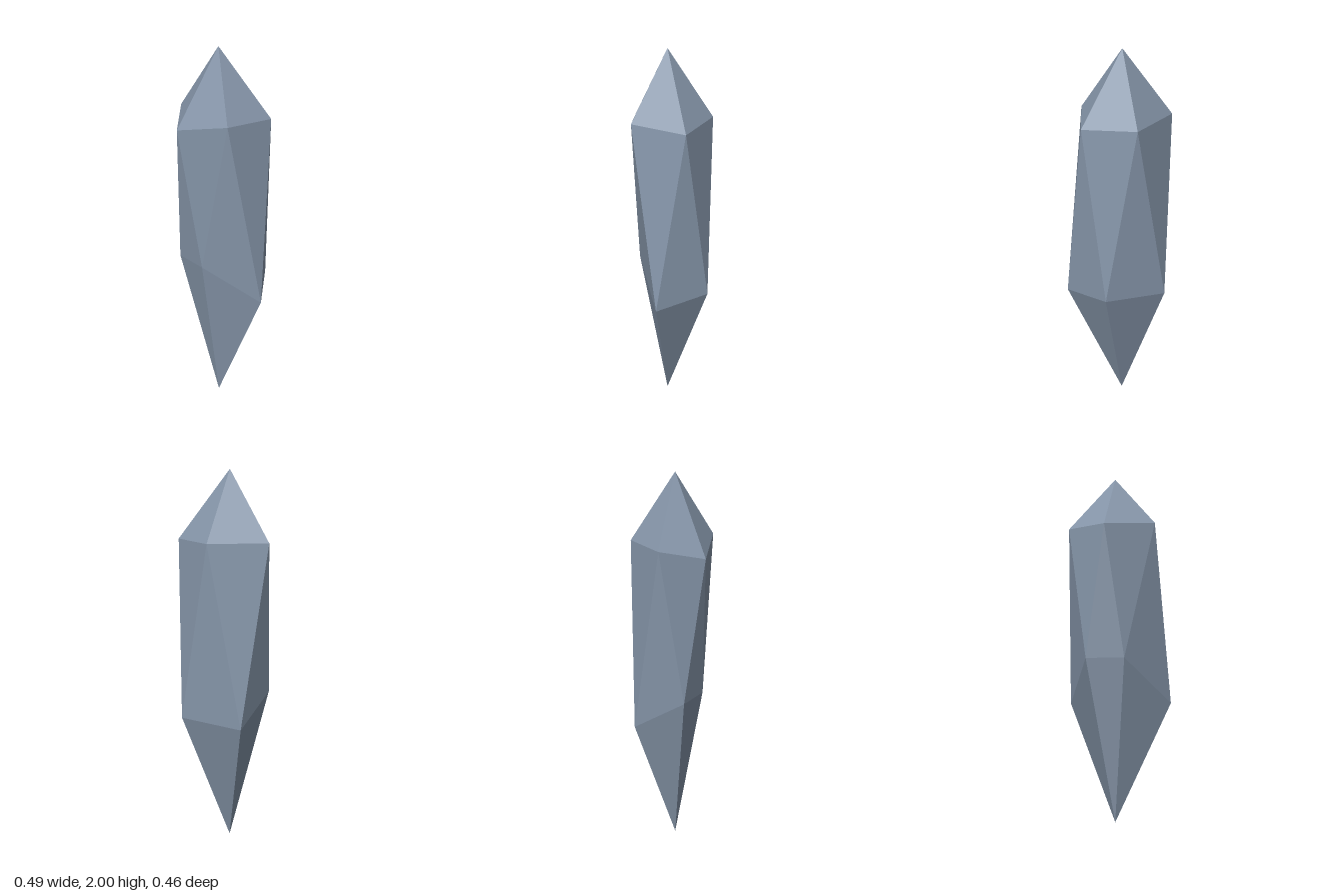
import * as THREE from 'three';

// Irregular five-sided crystal: two tips and two staggered rings
const tip = [-0.025, 2, 0.006];
const base = [-0.025, 0, 0.008];
const upper = [
  [0.246, 1.635, 0.006], [0.061, 1.655, 0.23], [-0.218, 1.585, 0.122],
  [-0.248, 1.64, -0.128], [0.06, 1.64, -0.21],
];
const lower = [
  [0.23, 0.66, 0.162], [-0.09, 0.83, 0.142], [-0.236, 0.825, 0.008],
  [-0.12, 0.675, -0.232], [0.209, 0.7, -0.135],
];

function crystalGeometry() {
  const corners = [];
  const face = (a, b, c) => corners.push(...a, ...b, ...c);
  for (let i = 0; i < 5; i++) {
    const j = (i + 1) % 5;
    face(tip, upper[j], upper[i]);        // pointed cap
    face(upper[i], upper[j], lower[i]);   // belt, pointing down
    face(lower[j], lower[i], upper[j]);   // belt, pointing up
    face(base, lower[i], lower[j]);       // tapering root
  }
  const geometry = new THREE.BufferGeometry();
  geometry.setAttribute('position', new THREE.Float32BufferAttribute(corners, 3));
  geometry.computeVertexNormals();
  return geometry;
}

export function createModel() {
  const group = new THREE.Group();
  group.name = 'crystalShard';
  const material = new THREE.MeshStandardMaterial({ color: 0x8797ab, flatShading: true });
  const crystal = new THREE.Mesh(crystalGeometry(), material);
  crystal.name = 'crystal';
  group.add(crystal);
  return group;
}
